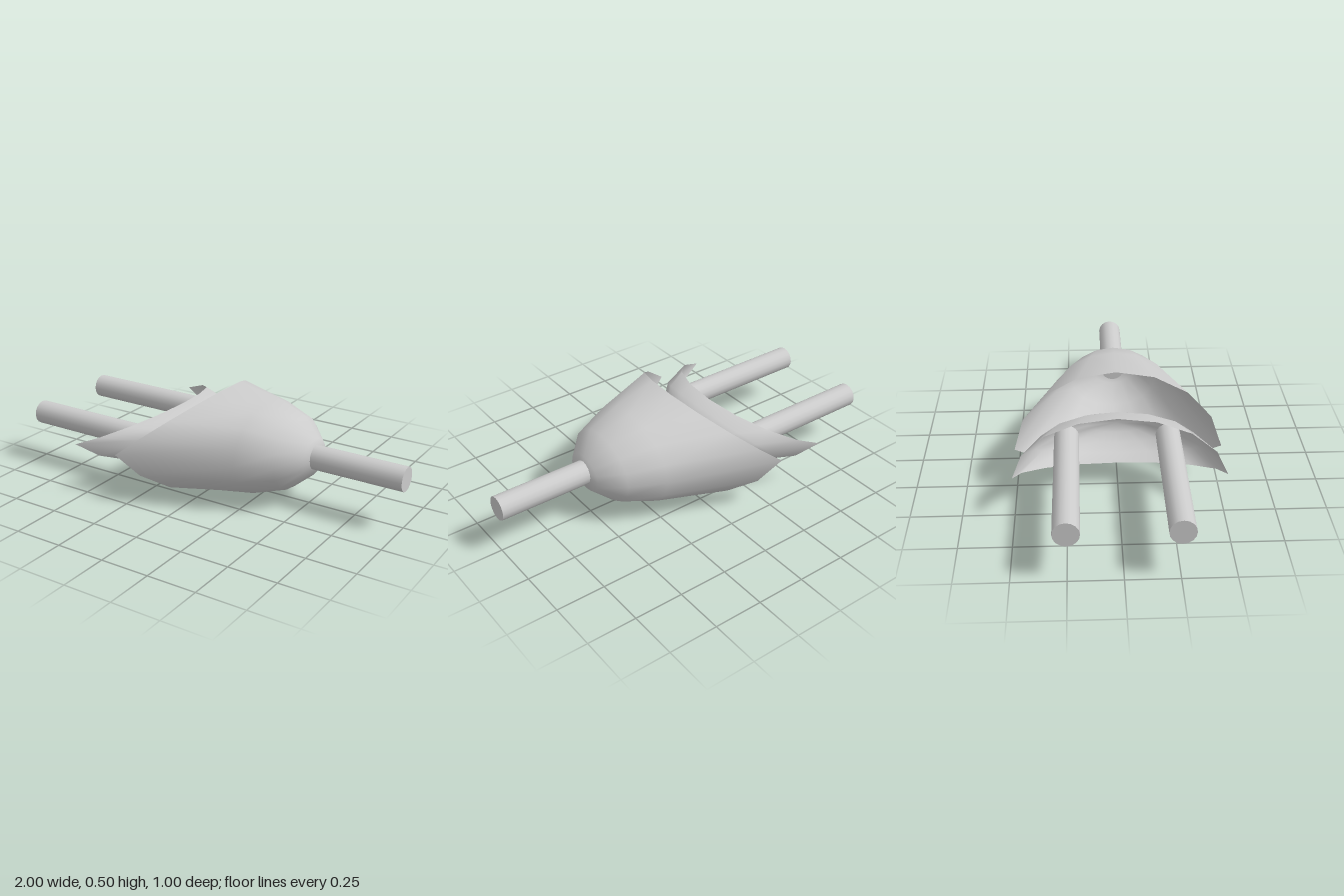
import * as THREE from 'three';

const SEGMENTS = 16;
const MID_Y = 0.25;
const grey = new THREE.MeshStandardMaterial({ color: 0xcccccc });
const shellGrey = new THREE.MeshStandardMaterial({ color: 0xcccccc, side: THREE.DoubleSide });

// Open shell pointing to +x. Each ring is [x at top, x at sides, half height, half depth].
function shell(name, rings) {
  const positions = [];
  const indices = [];
  rings.forEach(([xTop, xSide, h, d], i) => {
    for (let j = 0; j < SEGMENTS; j++) {
      const a = (j / SEGMENTS) * Math.PI * 2;
      const x = xSide + (xTop - xSide) * Math.abs(Math.cos(a));
      positions.push(x, MID_Y + h * Math.cos(a), d * Math.sin(a));
      if (i === rings.length - 1) continue;
      const k = (j + 1) % SEGMENTS;
      const p = i * SEGMENTS + j, q = i * SEGMENTS + k;
      indices.push(p, q, p + SEGMENTS, q, q + SEGMENTS, p + SEGMENTS);
    }
  });
  // close the nose with a single point
  const last = (rings.length - 1) * SEGMENTS;
  const nose = rings.length * SEGMENTS;
  positions.push(rings[rings.length - 1][0] + 0.015, MID_Y, 0);
  for (let j = 0; j < SEGMENTS; j++) indices.push(last + j, last + (j + 1) % SEGMENTS, nose);

  const geometry = new THREE.BufferGeometry();
  geometry.setAttribute('position', new THREE.Float32BufferAttribute(positions, 3));
  geometry.setIndex(indices);
  geometry.computeVertexNormals();
  const mesh = new THREE.Mesh(geometry, shellGrey);
  mesh.name = name;
  return mesh;
}

// Round rod lying along x
function rod(name, x0, x1, z) {
  const geometry = new THREE.CylinderGeometry(0.061, 0.061, x1 - x0, SEGMENTS);
  geometry.rotateZ(-Math.PI / 2);
  const mesh = new THREE.Mesh(geometry, grey);
  mesh.position.set((x0 + x1) / 2, MID_Y + 0.003, z);
  mesh.name = name;
  return mesh;
}

export function createModel() {
  const model = new THREE.Group();
  model.name = 'gate';

  // Domed body with a swept-back rim
  model.add(shell('body', [
    [0, -0.31, 0.248, 0.5],
    [0.25, 0.25, 0.231, 0.313],
    [0.42, 0.42, 0.177, 0.23],
    [0.52, 0.52, 0.092, 0.115],
  ]));

  // Flatter crescent behind the body
  model.add(shell('crescent', [
    [-0.25, -0.56, 0.125, 0.5],
    [-0.17, -0.31, 0.117, 0.4],
    [-0.12, -0.18, 0.088, 0.29],
    [-0.085, -0.1, 0.048, 0.15],
  ]));

  // Two input rods and one output rod
  for (const side of [-1, 1]) model.add(rod(side < 0 ? 'backInputRod' : 'frontInputRod', -1, -0.2, side * 0.25));
  model.add(rod('outputRod', 0.5, 1, 0));
  return model;
}
